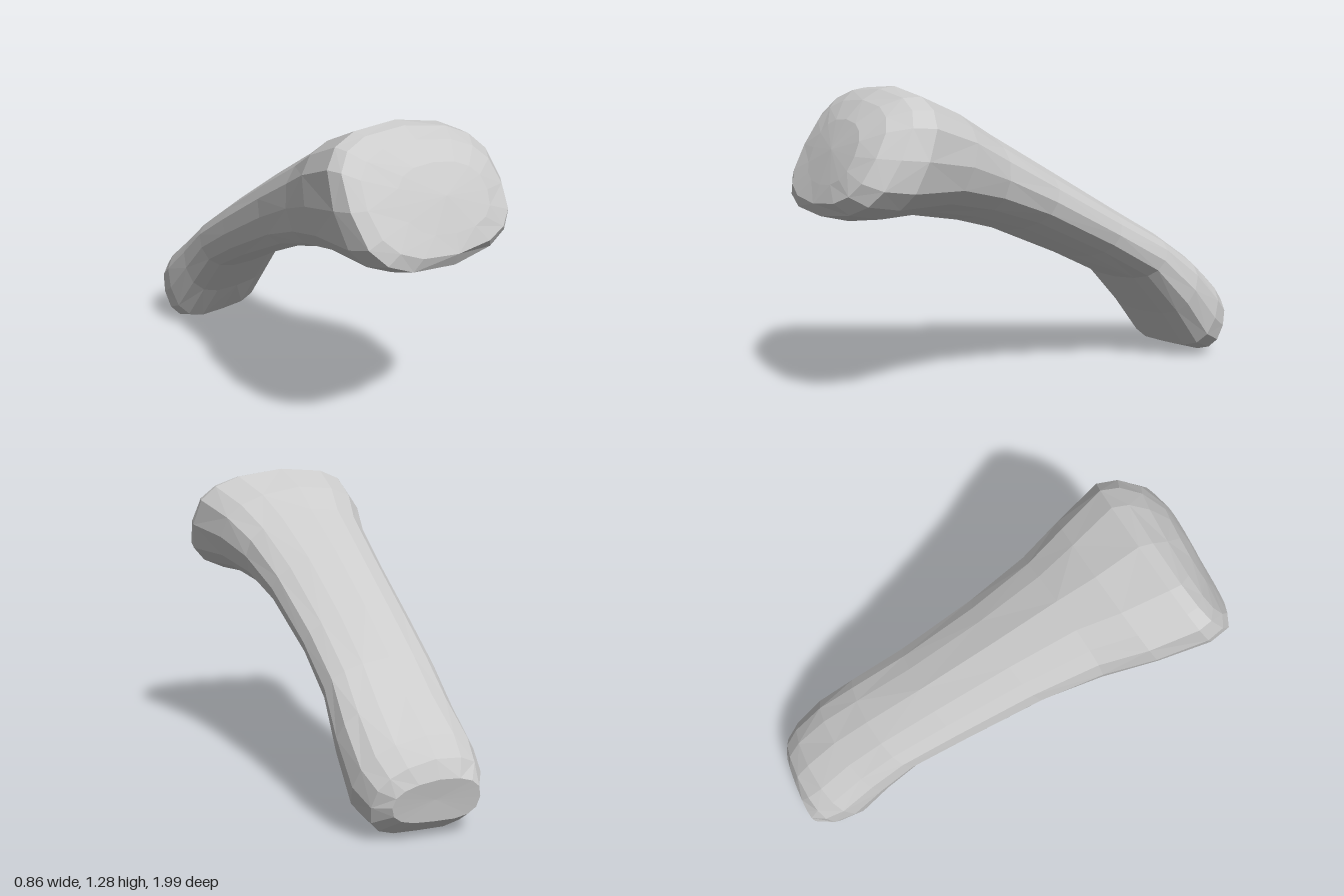
import * as THREE from 'three';

const SIDES = 16;

// Slanted cross-sections from the broad base (+z) to the rounded head (-z):
// top y, top z, bottom y, bottom z, min x, max x, squareness, underside groove,
// pinch (thinning towards +x), skew (z shift towards +x)
const SECTIONS = [
  [1.16, 0.84, 0.92, 0.965, -0.24, 0.16, 2.5, 0, 0.05, 0.03],
  [1.23, 0.76, 0.85, 0.99, -0.37, 0.27, 2.8, 0, 0.08, 0.035],
  [1.27, 0.69, 0.80, 0.965, -0.42, 0.34, 3.0, 0, 0.12, 0.02],
  [1.28, 0.63, 0.77, 0.85, -0.43, 0.375, 3.0, 0, 0.15, 0.01],
  [1.205, 0.44, 0.765, 0.60, -0.38, 0.34, 2.7, 0.03, 0.2, 0],
  [1.115, 0.28, 0.715, 0.36, -0.30, 0.31, 2.5, 0.06, 0.25, 0],
  [0.96, 0.0, 0.65, 0.14, -0.23, 0.31, 2.4, 0.08, 0.3, 0],
  [0.765, -0.33, 0.50, -0.20, -0.16, 0.34, 2.4, 0.1, 0.3, 0],
  [0.61, -0.58, 0.385, -0.43, -0.11, 0.38, 2.5, 0.1, 0.2, 0],
  [0.495, -0.74, 0.20, -0.59, -0.09, 0.42, 2.5, 0.1, 0.12, 0],
  [0.38, -0.89, 0.02, -0.72, -0.08, 0.43, 2.6, 0.15, 0.15, 0.01],
  [0.31, -0.955, -0.02, -0.84, -0.05, 0.405, 2.6, 0.17, 0.17, 0.015],
  [0.24, -0.98, 0.06, -0.945, 0.0, 0.35, 2.5, 0.15, 0.15, 0.025],
];

// One ring: a superellipse hollowed along its underside and thinner towards +x
function ring([ty, tz, by, bz, x0, x1, power, groove, pinch, skew]) {
  const points = [];
  const round = (t) => Math.sign(t) * Math.pow(Math.abs(t), 2 / power);
  for (let j = 0; j < SIDES; j++) {
    const a = (j / SIDES) * Math.PI * 2;
    const u = round(Math.cos(a));
    let v = round(Math.sin(a)) * (1 - pinch * Math.max(0, u));
    if (v < 0) v *= 1 - groove * Math.cos(u * Math.PI / 2) ** 2;
    points.push([
      (x0 + x1) / 2 + u * (x1 - x0) / 2,
      (ty + by) / 2 + v * (ty - by) / 2,
      (tz + bz) / 2 + v * (tz - bz) / 2 + skew * u,
    ]);
  }
  return points;
}

// Skin the rings and close both ends with a fan
function loft(rings, startCentre, endCentre) {
  const positions = [];
  const tri = (a, b, c) => positions.push(...a, ...b, ...c);
  const last = rings.length - 1;
  for (let j = 0; j < SIDES; j++) {
    const k = (j + 1) % SIDES;
    for (let i = 0; i < last; i++) {
      const a = rings[i][j], b = rings[i + 1][j], c = rings[i + 1][k], d = rings[i][k];
      // alternate the diagonals for an uneven faceted surface
      if ((i + j) % 2) { tri(a, b, c); tri(a, c, d); }
      else { tri(a, b, d); tri(b, c, d); }
    }
    tri(startCentre, rings[0][j], rings[0][k]);
    tri(endCentre, rings[last][k], rings[last][j]);
  }
  const geometry = new THREE.BufferGeometry();
  geometry.setAttribute('position', new THREE.Float32BufferAttribute(positions, 3));
  geometry.computeVertexNormals();
  return geometry;
}

export function createModel() {
  const group = new THREE.Group();
  group.name = 'fingerBone';
  const material = new THREE.MeshStandardMaterial({ color: 0xcccccc, flatShading: true });
  // base, shaft and head form one continuous skin
  const bone = new THREE.Mesh(loft(SECTIONS.map(ring), [-0.04, 1.05, 0.91], [0.18, 0.16, -0.96]), material);
  bone.name = 'bone';
  group.add(bone);
  return group;
}
